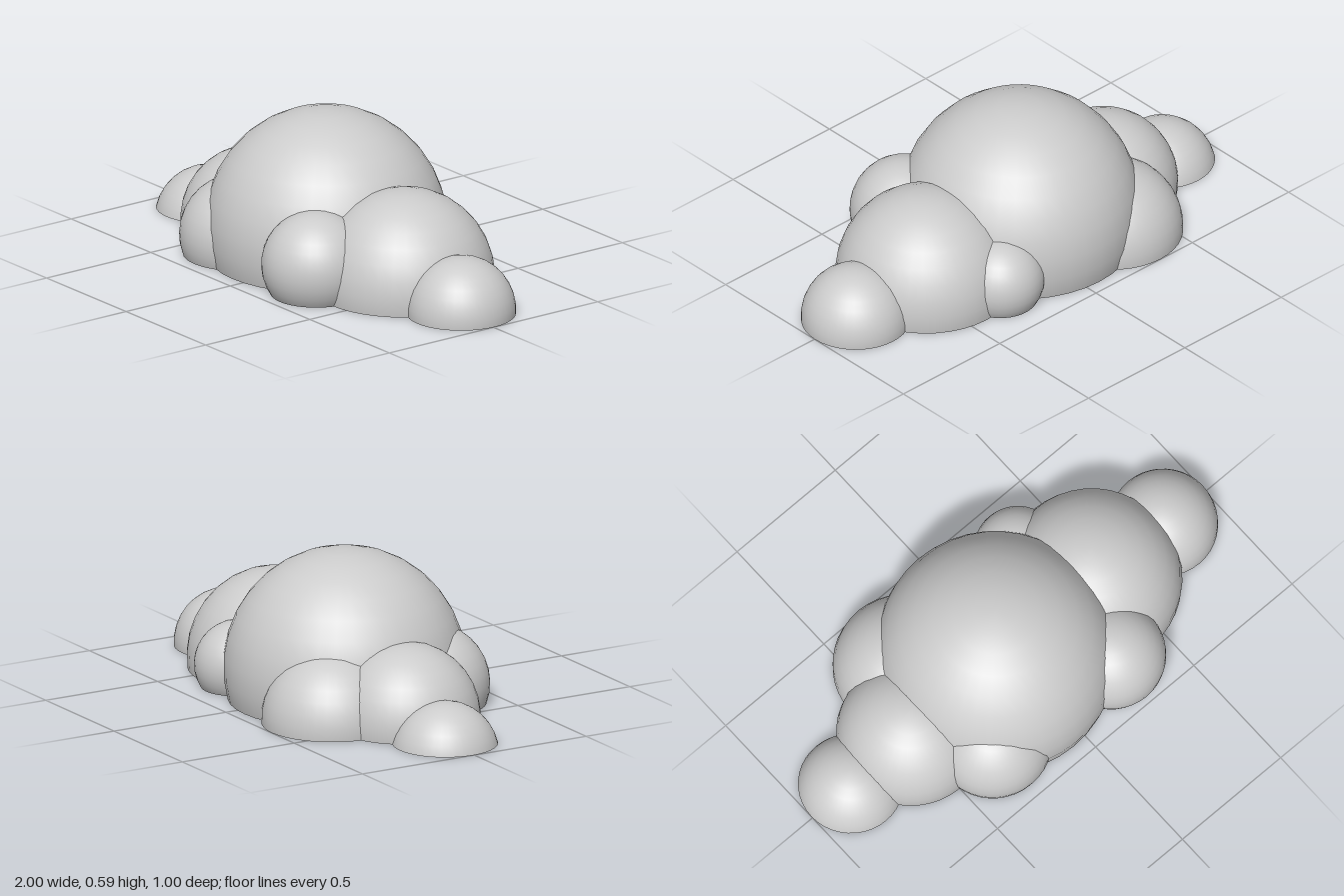
import * as THREE from 'three';

const material = new THREE.MeshStandardMaterial({ color: 0xcccccc });

// A sphere cut off flat at the ground: smooth dome plus a disc underneath
function puff(name, x, y, z, r) {
  const group = new THREE.Group();
  group.name = name;
  const cut = Math.acos(-y / r);
  const rows = Math.ceil(cut / (Math.PI / 16));

  const dome = new THREE.Mesh(
    new THREE.SphereGeometry(r, 40, rows, 0, Math.PI * 2, 0, cut), material);
  dome.name = name + 'Dome';
  dome.position.y = y;

  const base = new THREE.Mesh(
    new THREE.CircleGeometry(r * Math.sin(cut), 40).rotateX(Math.PI / 2), material);
  base.name = name + 'Base';

  group.add(dome, base);
  group.position.set(x, 0, z);
  return group;
}

export function createModel() {
  const cloud = new THREE.Group();
  cloud.name = 'cloud';

  // name, centre x, y, z, radius
  const puffs = [
    // row along the length
    ['mainPuff', -0.06, 0.125, -0.005, 0.465],
    ['leftPuff', 0.43, 0.05, -0.008, 0.346],
    ['leftEndPuff', 0.79, 0.015, -0.005, 0.21],
    ['rightPuff', -0.5, 0.035, 0, 0.285],
    ['rightEndPuff', -0.798, -0.045, -0.007, 0.207],
    // small puffs tucked in at the front and back
    ['frontLeftPuff', 0.265, 0.117, 0.29, 0.21],
    ['frontRightPuff', -0.29, 0.08, 0.235, 0.23],
    ['backLeftPuff', 0.285, 0.09, -0.27, 0.17],
    ['backRightPuff', -0.335, 0.02, -0.23, 0.27],
  ];
  for (const p of puffs) cloud.add(puff(...p));
  return cloud;
}
